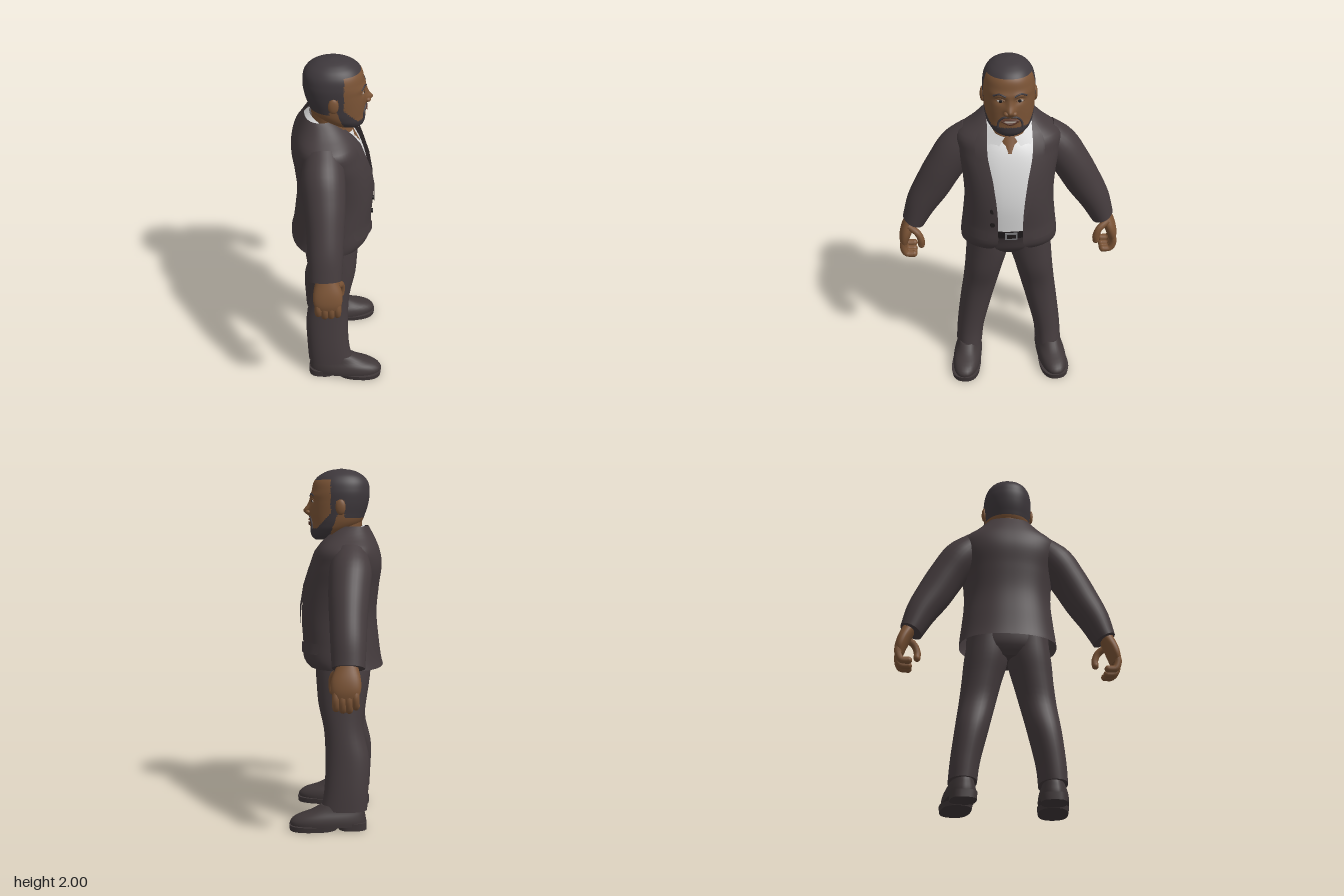
import * as THREE from 'three';

const mat = (name, color, side = THREE.FrontSide) =>
  Object.assign(new THREE.MeshStandardMaterial({ color, side }), { name });
const V = (x, y, z) => new THREE.Vector3(x, y, z);

// Surface through rings of points, listed bottom to top
function grid(rings, closed, caps) {
  const n = rings[0].length, pos = [], idx = [];
  rings.forEach(r => r.forEach(p => pos.push(p.x, p.y, p.z)));
  for (let i = 0; i < rings.length - 1; i++)
    for (let j = 0; j < (closed ? n : n - 1); j++) {
      const a = i * n + j, b = i * n + (j + 1) % n;
      idx.push(a, b, b + n, a, b + n, a + n);
    }
  if (caps) [rings[0], rings[rings.length - 1]].forEach((r, top) => {
    const start = pos.length / 3, c = V(0, 0, 0);
    r.forEach(p => { pos.push(p.x, p.y, p.z); c.addScaledVector(p, 1 / n); });
    pos.push(c.x, c.y, c.z);
    for (let j = 0; j < n; j++) {
      const a = start + j, b = start + (j + 1) % n;
      idx.push(...(top ? [a, b, start + n] : [b, a, start + n]));
    }
  });
  const g = new THREE.BufferGeometry();
  g.setAttribute('position', new THREE.Float32BufferAttribute(pos, 3));
  g.setIndex(idx);
  g.computeVertexNormals();
  return g;
}

// Section rows: [y, half width, back z, front z, centre x, tilt, half front gap]
const pad = rows => rows.map(r => [...r, 0, 0, 0].slice(0, 7));
const sampler = rows => {
  const full = pad(rows);
  const it = new THREE.CubicInterpolant(new Float32Array(full.map(r => r[0])), new Float32Array(full.flat()), 7);
  return y => Array.from(it.evaluate(y));
};
const spow = (v, p) => Math.sign(v) * Math.abs(v) ** p;

function loft(rows, { n = 32, m = 0, p = 1, open = false, caps = true } = {}) {
  let list = pad(rows);
  if (m) {
    const at = sampler(rows), y0 = rows[0][0], y1 = rows[rows.length - 1][0];
    list = Array.from({ length: m + 1 }, (_, i) => at(y0 + (y1 - y0) * i / m));
  }
  const rings = list.map(([y, hx, zb, zf, cx, tilt, gap]) => {
    const a0 = open ? Math.asin(Math.min(0.99, gap / hx) ** (1 / p)) : 0;
    return Array.from({ length: n }, (_, j) => {
      const a = open ? a0 + (2 * Math.PI - 2 * a0) * j / (n - 1) : 2 * Math.PI * j / n;
      const x = hx * spow(Math.sin(a), p), z = (zf + zb) / 2 + (zf - zb) / 2 * spow(Math.cos(a), p);
      return V(cx + x * Math.cos(tilt), y + x * Math.sin(tilt), z);
    });
  });
  return grid(rings, !open, caps && !open);
}

// Depth of a lofted front surface
function frontZ(at, x, y, p = 1) {
  const [, hx, zb, zf] = at(y), s = Math.min(0.98, Math.abs(x) / hx) ** (1 / p);
  return (zf + zb) / 2 + (zf - zb) / 2 * Math.sqrt(1 - s * s) ** p;
}

// Thin sheet lying on a lofted front, edges as [y, x0, x1]
const patch = (at, edges, off, p) => grid(edges.map(([y, x0, x1]) =>
  Array.from({ length: 7 }, (_, j) => {
    const x = x0 + (x1 - x0) * j / 6;
    return V(x, y, frontZ(at, x, y, p) + off);
  })), false, false);

const ball = (x, y, z, rx, ry, rz) => new THREE.SphereGeometry(1, 18, 12).scale(rx, ry, rz).translate(x, y, z);
const tube = (pts, r) => new THREE.TubeGeometry(new THREE.CatmullRomCurve3(pts), 14, r, 10);

function mirrored(geo) {
  const g = geo.clone().scale(-1, 1, 1), ix = g.index.array;
  for (let i = 0; i < ix.length; i += 3) [ix[i], ix[i + 1]] = [ix[i + 1], ix[i]];
  return g;
}

export function createModel() {
  const suit = mat('suit', 0x443b3d, THREE.DoubleSide), skin = mat('skin', 0x7a5335);
  const hair = mat('hair', 0x3e383c), shirt = mat('shirt', 0xdadada, THREE.DoubleSide);
  const leather = mat('shoe leather', 0x3f3738), dark = mat('dark trim', 0x1e1a1b);
  const metal = mat('buckle', 0x77777a), lip = mat('lips', 0x5a3528), white = mat('eyes and teeth', 0xb5aaa0);

  const figure = new THREE.Group();
  figure.name = 'figure';
  const add = (name, geo, m) => {
    const mesh = new THREE.Mesh(geo, m);
    mesh.name = name;
    figure.add(mesh);
  };
  const pair = (name, geo, m) => { add(name + 'Left', geo, m); add(name + 'Right', mirrored(geo), m); };

  // Jacket, open at the front
  const P = 0.85;
  const jacket = [[0.9, 0.275, -0.26, 0.16, 0, 0, 0.12], [0.93, 0.275, -0.252, 0.185, 0, 0, 0.085],
    [1.05, 0.262, -0.235, 0.195, 0, 0, 0.07], [1.2, 0.25, -0.222, 0.203, 0, 0, 0.075],
    [1.35, 0.262, -0.235, 0.185, 0, 0, 0.095], [1.48, 0.285, -0.25, 0.145, 0, 0, 0.12],
    [1.56, 0.28, -0.235, 0.115, 0, 0, 0.125], [1.62, 0.2, -0.21, 0.07, 0, 0, 0.122], [1.685, 0.13, -0.175, 0, 0, 0, 0.122]];
  add('jacket', loft(jacket, { n: 56, m: 40, p: P, open: true }), suit);
  const coat = sampler(jacket);
  pair('lapel', patch(coat, [[1.13, 0.074, 0.08], [1.25, 0.08, 0.125], [1.36, 0.094, 0.165], [1.45, 0.113, 0.195],
    [1.475, 0.118, 0.165], [1.49, 0.12, 0.185], [1.55, 0.124, 0.19], [1.6, 0.122, 0.17], [1.64, 0.12, 0.14]], 0.012, P), suit);
  pair('pocketFlap', patch(coat, [[0.985, 0.13, 0.245], [1.0, 0.125, 0.25], [1.045, 0.125, 0.25]], 0.014, P), suit);
  [1.09, 1.18].forEach(y => add('jacketButton', new THREE.CylinderGeometry(0.013, 0.013, 0.01, 14)
    .rotateX(Math.PI / 2).translate(-0.1, y, frontZ(coat, 0.1, y, P) + 0.005), dark));

  // Sleeves
  pair('sleeve', loft([[0.965, 0.067, -0.175, 0, 0.548, 0.44], [1.08, 0.087, -0.18, 0.01, 0.5, 0.52],
    [1.2, 0.102, -0.183, 0.02, 0.43, 0.56], [1.33, 0.107, -0.192, 0.03, 0.355, 0.58],
    [1.45, 0.11, -0.2, 0.03, 0.27, 0.7], [1.52, 0.09, -0.18, 0.02, 0.2, 0.96]], { m: 20 }), suit);

  // Hands with curled fingers
  pair('palm', loft([[0.82, 0.022, -0.14, -0.012, 0.61], [0.85, 0.03, -0.153, -0.002, 0.607],
    [0.91, 0.038, -0.155, 0, 0.59], [0.99, 0.042, -0.135, -0.03, 0.555]], { m: 10, p: 0.9 }), skin);
  [-0.128, -0.094, -0.06, -0.026].forEach((z, i) => {
    const d = [0.018, 0, 0, 0.008][i];
    pair('finger', tube([V(0.606, 0.86, z), V(0.615, 0.8 + d, z), V(0.597, 0.757 + d, z), V(0.555, 0.752 + d, z)], 0.02), skin);
    pair('fingertip', ball(0.555, 0.752 + d, z, 0.02, 0.02, 0.02), skin);
  });
  pair('thumb', tube([V(0.575, 0.95, -0.03), V(0.525, 0.915, -0.005), V(0.507, 0.87, 0), V(0.508, 0.84, -0.004)], 0.02), skin);
  pair('thumbTip', ball(0.508, 0.84, -0.004, 0.02, 0.022, 0.02), skin);

  // Shirt and its collar
  add('shirt', loft([[0.99, 0.2, -0.15, 0.17], [1.2, 0.2, -0.15, 0.186], [1.35, 0.21, -0.15, 0.17],
    [1.48, 0.2, -0.15, 0.132], [1.54, 0.16, -0.15, 0.1], [1.6, 0.115, -0.14, 0.04]], { m: 20, n: 40, p: P }), shirt);
  const collarRing = (a0, r, y, drop, k) => Array.from({ length: 33 }, (_, j) => {
    const a = a0 + (2 * Math.PI - 2 * a0) * j / 32, c = (1 + Math.cos(a)) / 2;
    return V(r * Math.sin(a), y - drop * c ** k, -0.03 + r * Math.cos(a));
  });
  add('shirtCollar', grid([collarRing(0.5, 0.158, 1.65, 0.165, 2), collarRing(0.22, 0.118, 1.69, 0.11, 1)], false), shirt);

  // Trousers and belt
  add('trouserHips', loft([[0.82, 0.15, -0.15, 0.07], [0.86, 0.22, -0.185, 0.11], [0.93, 0.235, -0.2, 0.135],
    [1.01, 0.225, -0.2, 0.168]], { m: 8, p: 0.9 }), suit);
  pair('trouserLeg', loft([[0.11, 0.078, -0.18, 0.08, 0.243], [0.2, 0.08, -0.185, 0.063, 0.235],
    [0.4, 0.092, -0.188, 0.057, 0.2], [0.56, 0.101, -0.155, 0.068, 0.17], [0.7, 0.111, -0.168, 0.1, 0.145],
    [0.82, 0.122, -0.185, 0.112, 0.124], [0.95, 0.112, -0.19, 0.12, 0.115]], { m: 24, p: 0.9 }), suit);
  add('belt', loft([[0.985, 0.228, -0.2, 0.175], [1.03, 0.222, -0.2, 0.18]], { p: 0.9 }), dark);
  add('beltBuckle', new THREE.BoxGeometry(0.07, 0.042, 0.01).translate(0.005, 1.005, 0.182), metal);
  add('buckleInset', new THREE.BoxGeometry(0.05, 0.024, 0.008).translate(0.005, 1.005, 0.185), dark);

  // Shoes, turned slightly outward
  const place = g => g.rotateY(0.12).translate(0.252, 0, 0);
  pair('shoe', place(loft([[0.025, 0.083, -0.175, 0.25], [0.05, 0.084, -0.175, 0.252], [0.08, 0.077, -0.17, 0.215],
    [0.105, 0.065, -0.165, 0.145], [0.14, 0.055, -0.15, 0.08]], { m: 12, p: 0.85 })), leather);
  pair('shoeSole', place(loft([[0, 0.083, -0.01, 0.255], [0.03, 0.088, -0.02, 0.258]], { p: 0.8 })), leather);
  pair('shoeHeel', place(loft([[0, 0.07, -0.178, -0.02], [0.042, 0.072, -0.178, -0.01]], { p: 0.7 })), leather);

  // Neck
  add('neck', loft([[1.5, 0.06, -0.1, 0.125], [1.56, 0.09, -0.12, 0.095], [1.62, 0.1, -0.13, 0.07],
    [1.72, 0.105, -0.14, 0.06]], { m: 10 }), skin);

  // Head, sculpted, with hair and beard as material groups
  const HP = 0.92;
  const headRows = [[1.608, 0.045, 0.03, 0.125], [1.625, 0.082, -0.02, 0.143], [1.66, 0.115, -0.08, 0.152],
    [1.7, 0.13, -0.13, 0.15], [1.76, 0.137, -0.158, 0.152], [1.82, 0.141, -0.175, 0.15], [1.88, 0.14, -0.18, 0.144],
    [1.94, 0.122, -0.165, 0.125], [1.975, 0.088, -0.125, 0.082], [1.994, 0.045, -0.075, 0.03], [2, 0.008, -0.03, -0.015]];
  const head = loft(headRows, { n: 104, m: 64, p: HP });
  const pos = head.attributes.position, bump = (d, s) => Math.exp(-(d * d) / (s * s));
  for (let i = 0; i < pos.count; i++) {
    const x = pos.getX(i), y = pos.getY(i), z = pos.getZ(i), ax = Math.abs(x);
    if (z < 0.06) continue;
    pos.setZ(i, z + 0.036 * bump(x, 0.024) * bump(y - 1.768, 0.024) + 0.014 * bump(x, 0.016) * bump(y - 1.805, 0.035)
      + 0.008 * bump(y - 1.852, 0.016) * bump(ax - 0.05, 0.05) - 0.01 * bump(ax - 0.05, 0.025) * bump(y - 1.822, 0.018)
      + 0.007 * bump(x, 0.045) * bump(y - 1.71, 0.025));
  }
  head.computeVertexNormals();
  const isHair = (y, z) => y > 1.94 || (z < 0.03 && y > 1.825) || (z < -0.045 && y > 1.73) || (z > 0.002 && z < 0.03 && y > 1.75)
    || (y < Math.max(1.672, 1.78 - 1.1 * (z - 0.01)) && z > -0.005 + (1.74 - y) * 0.4);
  const sets = [[], []], ix = head.index.array;
  for (let i = 0; i < ix.length; i += 3) {
    const t = [ix[i], ix[i + 1], ix[i + 2]], mean = k => t.reduce((s, v) => s + pos.getComponent(v, k) / 3, 0);
    sets[isHair(mean(1), mean(2)) ? 1 : 0].push(...t);
  }
  head.setIndex(sets.flat());
  head.addGroup(0, sets[0].length, 0);
  head.addGroup(sets[0].length, sets[1].length, 1);
  add('head', head, [skin, hair]);

  // Facial features
  const face = sampler(headRows), fz = (x, y) => frontZ(face, x, y, HP);
  pair('ear', ball(0.141, 1.79, -0.025, 0.014, 0.043, 0.028), skin);
  pair('nostril', ball(0.02, 1.76, 0.163, 0.016, 0.013, 0.017), skin);
  pair('eye', ball(0.05, 1.822, fz(0.05, 1.822) - 0.009, 0.02, 0.009, 0.007), white);
  pair('iris', ball(0.05, 1.822, fz(0.05, 1.822) - 0.003, 0.009, 0.009, 0.003), dark);
  const arc = (pts, off) => pts.map(([x, y]) => V(x, y, fz(x, y) + off));
  pair('upperLid', tube(arc([[0.027, 1.823], [0.05, 1.835], [0.075, 1.822]], -0.005), 0.005), skin);
  pair('eyebrow', tube(arc([[0.022, 1.85], [0.055, 1.862], [0.088, 1.848]], 0.005), 0.005), hair);
  pair('moustache', tube(arc([[0.004, 1.736], [0.035, 1.732], [0.06, 1.705], [0.066, 1.67]], 0.003), 0.006), hair);
  add('teeth', ball(0, 1.709, fz(0, 1.709) + 0.006, 0.034, 0.008, 0.006), white);
  add('upperLip', tube(arc([[-0.045, 1.714], [0, 1.721], [0.045, 1.714]], 0.007), 0.006), lip);
  add('lowerLip', tube(arc([[-0.045, 1.712], [0, 1.695], [0.045, 1.712]], 0.007), 0.007), lip);

  // The figure looks along +x
  figure.rotation.y = Math.PI / 2;
  const model = new THREE.Group();
  model.name = 'manInSuit';
  model.add(figure);
  return model;
}
